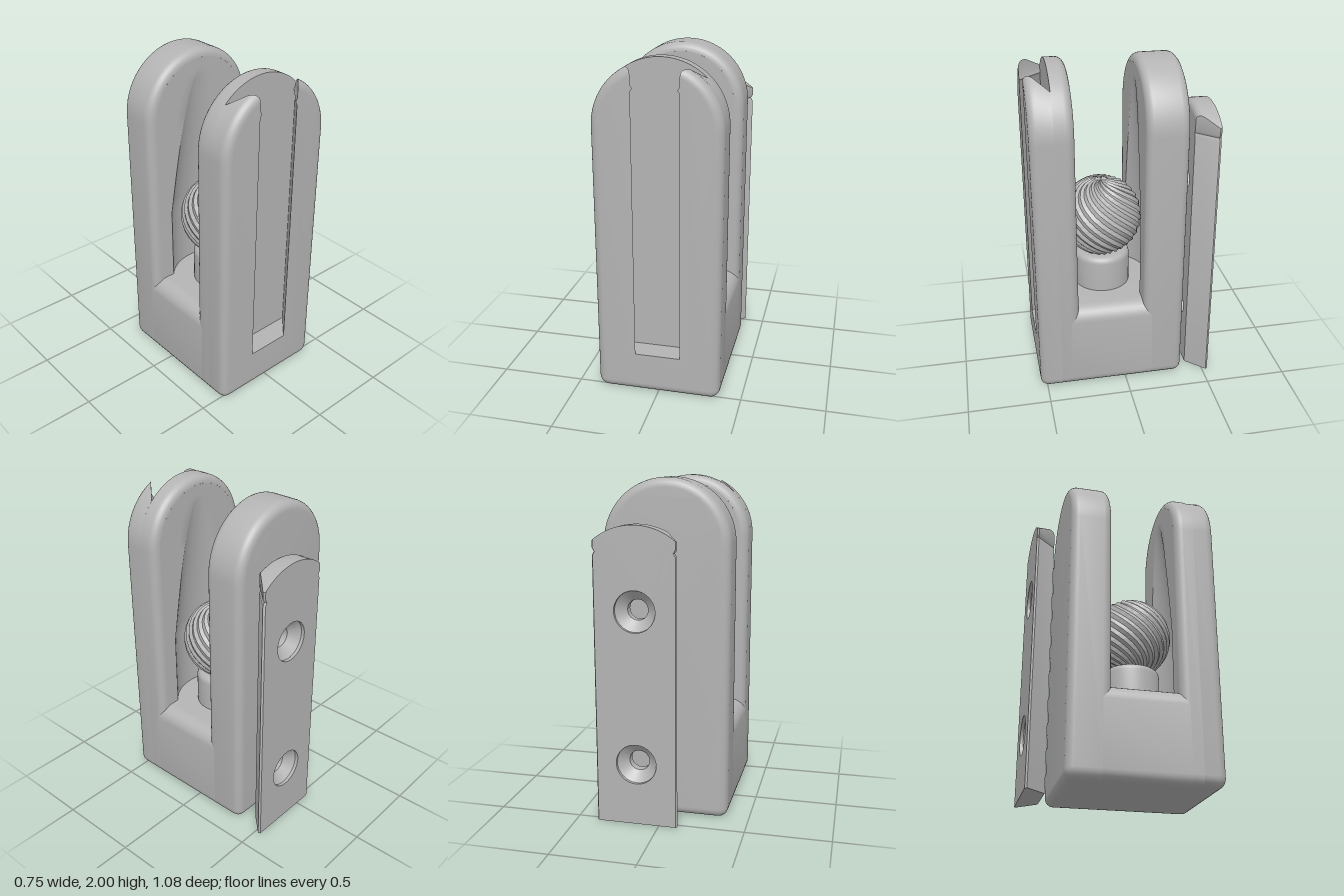
import * as THREE from 'three';
import { toCreasedNormals } from 'three/addons/utils/BufferGeometryUtils.js';

const R = 0.373, ARCH_Y = 2 - R, FILLET = 0.05, BALL_Z = 0.09, FLOOR = 0.55;
const V = (x, y) => new THREE.Vector2(x, y);

// Points of an arc, both ends included
function arc(cx, cy, r, a0, a1, n) {
  return Array.from({ length: n + 1 }, (_, k) => {
    const a = a0 + (a1 - a0) * k / n;
    return V(cx + r * Math.cos(a), cy + r * Math.sin(a));
  });
}

// Arched outline inset by i; s > 0 cuts a slot of half width s with small detents
function archOutline(i, s = 0) {
  const r = R - i, c = Math.max(0.06 - i, 0.005), phi = Math.acos(s / r), q = Math.PI / 2;
  const yTop = ARCH_Y + r * Math.sin(phi);
  const wall = [[0, yTop - 0.002], [0, 1.87], [0.012, 1.85], [0, 1.83], [0, 0.25]];
  const slot = s ? [
    ...wall.map(([d, y]) => V(s - d, y)),
    ...wall.slice().reverse().map(([d, y]) => V(d - s, y)),
  ] : [];
  return [
    ...arc(-r + c, i + c, c, 2 * q, 3 * q, 5),
    ...arc(r - c, i + c, c, -q, 0, 5),
    ...arc(0, ARCH_Y, r, 0, phi, 20),
    ...slot,
    ...arc(0, ARCH_Y, r, Math.PI - phi, Math.PI, 20).slice(s ? 0 : 1),
  ];
}

function geometryFrom(pos) {
  const g = new THREE.BufferGeometry();
  g.setAttribute('position', new THREE.Float32BufferAttribute(pos, 3));
  return toCreasedNormals(g, 0.5);
}

// Skin over rings [{z, pts}] in rising z, with optional flat caps and cap holes
function loft(rings, { start, end } = {}) {
  const pos = [];
  const put = (p, z) => pos.push(p.x, p.y, z);
  for (let k = 0; k < rings.length - 1; k++) {
    const A = rings[k], B = rings[k + 1], n = A.pts.length;
    for (let i = 0; i < n; i++) {
      const j = (i + 1) % n;
      put(A.pts[i], A.z); put(A.pts[j], A.z); put(B.pts[j], B.z);
      put(A.pts[i], A.z); put(B.pts[j], B.z); put(B.pts[i], B.z);
    }
  }
  const cap = (ring, holes, flip) => {
    const all = [...ring.pts, ...holes.flat()];
    for (const f of THREE.ShapeUtils.triangulateShape(ring.pts.slice(), holes.map(h => h.slice())))
      for (const v of flip ? [f[0], f[2], f[1]] : f) put(all[v], ring.z);
  };
  if (start) cap(rings[0], start, true);
  if (end) cap(rings[rings.length - 1], end, false);
  return geometryFrom(pos);
}

// Quarter-round layers: dir +1 grows from z into the solid, -1 shrinks out to z
function filletRings(z, dir, outline) {
  const rings = [];
  for (let k = 0; k <= 6; k++) {
    const a = k / 6 * Math.PI / 2;
    const zz = z + dir * FILLET * (1 - Math.cos(a));
    rings.push({ z: zz, pts: outline(FILLET * (1 - Math.sin(a)), zz) });
  }
  return dir > 0 ? rings : rings.reverse();
}

// Inner arm face with the tapered round channel that clears the ball
function channelFace(z, dir) {
  const r = R - FILLET, ys = [0.4, FLOOR - 0.0005, FLOOR];
  for (let k = 1; k <= 26; k++) ys.push(FLOOR + (ARCH_Y - FLOOR) * k / 26);
  for (let k = 1; k <= 16; k++) ys.push(ARCH_Y + r * Math.sin(k / 16 * Math.PI / 2));
  const rows = ys.map((y, row) => {
    const half = y > ARCH_Y ? Math.sqrt(Math.max(0, r * r - (y - ARCH_Y) ** 2)) : r;
    const rc = y < 1 ? 0.305 : 0.305 - 0.105 * (y - 1) / 0.87;
    const w = Math.min(half, Math.sqrt(Math.max(1e-6, rc * rc - 0.04)));
    const pts = [];
    for (let c = -14; c <= 14; c++) {
      const m = Math.abs(c), ax = m <= 10 ? w * m / 10 : w + (half - w) * (m - 10) / 4;
      const depth = row > 1 && m < 10 ? Math.max(0, Math.sqrt(Math.max(0, rc * rc - ax * ax)) - 0.2) : 0;
      pts.push([Math.sign(c) * ax, y, z - dir * depth]);
    }
    return pts;
  });
  const pos = [];
  for (let i = 0; i < rows.length - 1; i++) for (let j = 0; j < 28; j++) {
    const a = rows[i][j], b = rows[i][j + 1], c = rows[i + 1][j + 1], d = rows[i + 1][j];
    pos.push(...(dir > 0 ? [a, b, c, a, c, d] : [a, c, b, a, d, c]).flat());
  }
  return geometryFrom(pos);
}

export function createModel() {
  const grey = new THREE.MeshStandardMaterial({ color: 0xb4b4b4 });
  grey.name = 'plain grey';
  const model = new THREE.Group();
  model.name = 'ballClampMount';
  const add = (name, geometry, parent = model) => {
    const m = new THREE.Mesh(geometry, grey);
    m.name = name;
    parent.add(m);
    return m;
  };
  const plain = i => archOutline(i);

  // Back arm
  add('backArm', loft([...filletRings(-0.36, 1, plain), ...filletRings(-0.11, -1, plain)], { start: [] }));
  add('backArmChannel', channelFace(-0.11, 1));

  // Front arm: inner slab, then the outer slab with the dovetail slot
  add('frontArmInner', loft([...filletRings(0.29, 1, plain), { z: 0.405, pts: plain(0) }], { end: [] }));
  add('frontArmChannel', channelFace(0.29, -1));
  const slotted = (i, z) => archOutline(i, 0.135 + (0.54 - z) * 0.926);
  add('frontArmDovetailSlot', loft(
    [{ z: 0.405, pts: slotted(0, 0.405) }, ...filletRings(0.54, -1, slotted)], { end: [] }));

  // Base block joining the arms
  const q = Math.PI / 2, b = 0.06, t = 0.09;
  const block = [
    ...arc(-R + b, b, b, 2 * q, 3 * q, 5), ...arc(R - b, b, b, -q, 0, 5),
    ...arc(R - t, FLOOR - t, t, 0, q, 8), ...arc(-R + t, FLOOR - t, t, q, 2 * q, 8),
  ];
  add('baseBlock', loft([{ z: -0.16, pts: block }, { z: 0.34, pts: block }], { start: [], end: [] }));

  // Pedestal under the ball
  const pedestal = add('pedestal', toCreasedNormals(new THREE.LatheGeometry(
    [V(0.173, 0.5), ...arc(0.133, 0.735, 0.04, 0, q, 6), V(0, 0.775)], 48), 0.5));
  pedestal.position.z = BALL_Z;

  // Ball with a pleated, faceted surface
  const seg = 40, rowsN = 24, sphere = new THREE.SphereGeometry(0.25, seg, rowsN);
  const p = sphere.attributes.position;
  for (let iy = 1; iy < rowsN; iy++) for (let ix = 0; ix <= seg; ix++) {
    if ((ix + iy) % 2 === 0) continue;
    const k = iy * (seg + 1) + ix;
    p.setXYZ(k, p.getX(k) * 0.96, p.getY(k) * 0.96, p.getZ(k) * 0.96);
  }
  const faceted = sphere.toNonIndexed();
  faceted.computeVertexNormals();
  add('ball', faceted).position.set(0, 1, BALL_Z);

  // Dovetail rail with arched top, detent notches and two countersunk holes
  const rail = new THREE.Group();
  rail.name = 'dovetailRail';
  rail.position.x = 0.133;
  model.add(rail);
  const railOutline = (h, i) => {
    const r = R - i, phi = Math.acos(h / r);
    const side = [[h, 0], [h, 1.58], [h - 0.012, 1.6], [h, 1.62]];
    return [
      ...side.map(([x, y]) => V(x, y)),
      ...arc(0, 1.75 - R, r, phi, Math.PI - phi, 20),
      ...side.reverse().map(([x, y]) => V(-x, y)),
    ];
  };
  const railRings = [{ z: -0.535, pts: railOutline(0.235, 0) }, { z: -0.523, pts: railOutline(0.242, 0) }];
  for (let k = 5; k >= 0; k--) {
    const a = k / 5 * q, z = -0.41 - 0.04 * (1 - Math.cos(a));
    railRings.push({ z, pts: railOutline(0.135 + (-0.41 - z) * 0.947, 0.04 * (1 - Math.sin(a))) });
  }
  const circle = (y, r) => arc(0, y, r, 2 * Math.PI, 0, 32).slice(0, 32);
  const holeY = [0.37, 1.27];
  add('railBody', loft(railRings, {
    start: holeY.map(y => circle(y, 0.12)), end: holeY.map(y => circle(y, 0.06)),
  }), rail);
  for (const y of holeY) {
    add('countersunkHole', loft([[-0.535, 0.12], [-0.515, 0.12], [-0.46, 0.06], [-0.41, 0.06]]
      .map(([z, r]) => ({ z, pts: circle(y, r) }))), rail);
  }
  return model;
}
